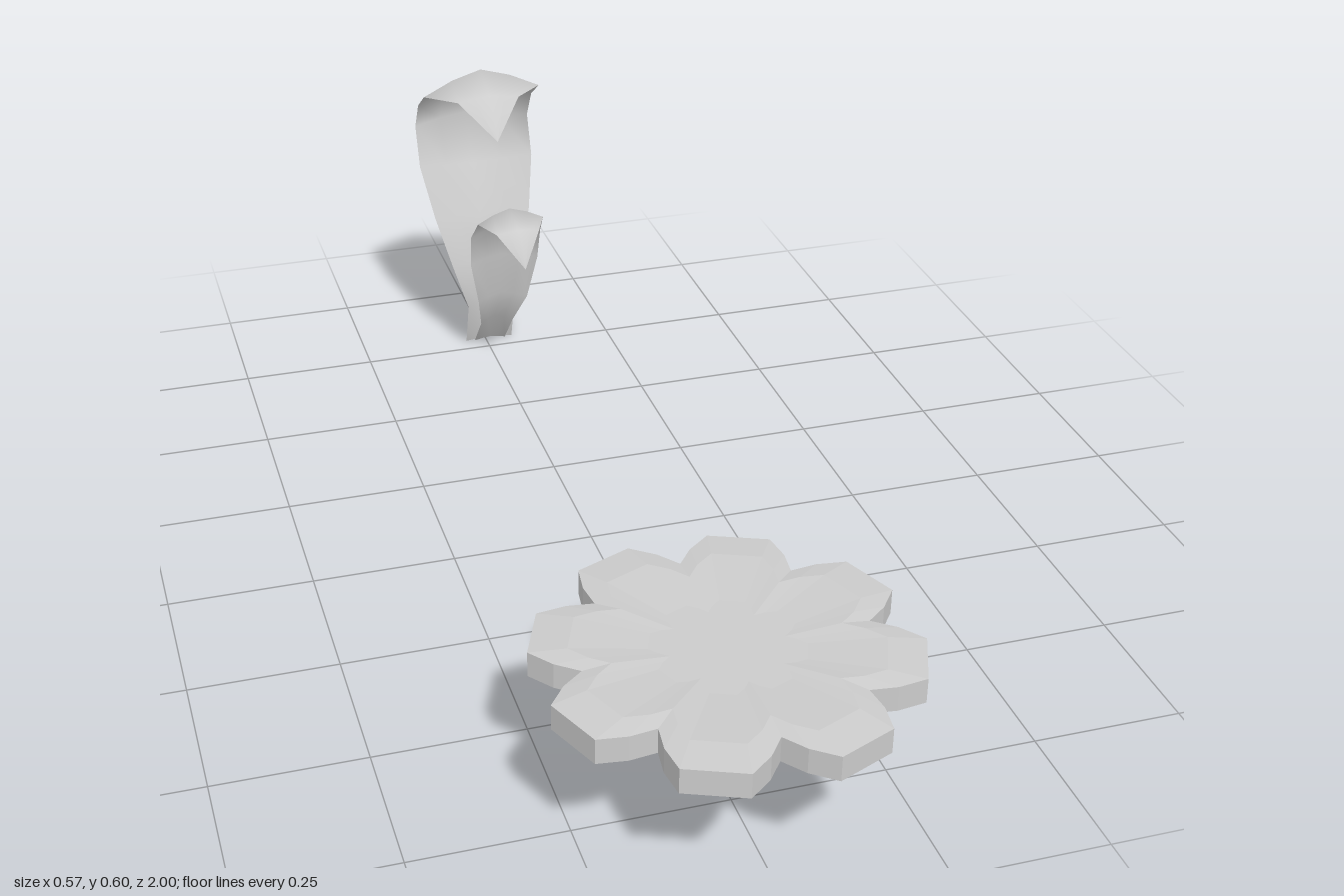
import * as THREE from 'three';

const grey = (opts = {}) => new THREE.MeshStandardMaterial({ color: 0xcccccc, ...opts });

function meshFrom(name, positions, index, material, flat) {
  let geo = new THREE.BufferGeometry();
  geo.setAttribute('position', new THREE.Float32BufferAttribute(positions, 3));
  geo.setIndex(index);
  if (flat) geo = geo.toNonIndexed();
  geo.computeVertexNormals();
  const mesh = new THREE.Mesh(geo, material);
  mesh.name = name;
  return mesh;
}

// Joins equal-length rows of points with quads
function gridIndex(rows, cols, closed) {
  const index = [];
  for (let i = 0; i < rows - 1; i++) {
    for (let j = 0; j < (closed ? cols : cols - 1); j++) {
      const k = (j + 1) % cols;
      const a = i * cols + j, b = i * cols + k, c = a + cols, d = b + cols;
      index.push(a, b, c, b, d, c);
    }
  }
  return index;
}

// Thick flower disc with eight scalloped petals, slightly domed rim and dished centre
function blossom() {
  const petal = [[0, 0.222], [6, 0.258], [12.8, 0.293], [32.2, 0.293], [39, 0.258]];
  const outline = [];
  for (let p = 0; p < 8; p++) {
    for (const [deg, r] of petal) {
      const a = THREE.MathUtils.degToRad(deg + p * 45);
      outline.push([r * Math.cos(a), r * Math.sin(a)]);
    }
  }
  // [scale, height] from the top centre round to the bottom centre
  const rings = [[0, 0.26], [0.4, 0.26], [0.8, 0.266], [1, 0.261], [1, 0.219], [0.8, 0.215], [0, 0.215]];
  const pos = [];
  for (const [s, y] of rings) for (const [x, z] of outline) pos.push(x * s, y, z * s);
  const mesh = meshFrom('flowerDisc', pos, gridIndex(rings.length, outline.length, true),
    grey({ flatShading: true }), true);
  mesh.position.z = 0.713;
  return mesh;
}

// Cupped leaf; stations are [z, y, halfWidth, cupDepth, centreX], side = -1 curls backward
function leaf(name, stations, side) {
  const across = [-1, -0.5, 0, 0.5, 1];
  const pos = [];
  stations.forEach(([z, y, w, depth, x0], i) => {
    const p = stations[Math.max(i - 1, 0)], n = stations[Math.min(i + 1, stations.length - 1)];
    const tz = n[0] - p[0], ty = n[1] - p[1], len = Math.hypot(tz, ty);
    for (const u of across) {
      const cup = side * depth * Math.pow(Math.abs(u), 1.4);
      pos.push(x0 + u * w, Math.max(y - cup * tz / len, 0), z + cup * ty / len);
    }
  });
  return meshFrom(name, pos, gridIndex(stations.length, across.length, false),
    grey({ side: THREE.DoubleSide }), false);
}

export function createModel() {
  const group = new THREE.Group();
  group.name = 'flowerAndLeaves';
  group.add(blossom());

  group.add(leaf('tallLeaf', [
    [-0.79, 0.004, 0.048, 0.006, 0.007],
    [-0.772, 0.10, 0.048, 0.022, 0.006],
    [-0.775, 0.19, 0.072, 0.025, 0],
    [-0.805, 0.28, 0.097, 0.022, 0],
    [-0.855, 0.37, 0.115, 0.03, 0],
    [-0.907, 0.46, 0.115, 0.048, 0],
    [-0.855, 0.55, 0.115, 0.045, 0],
    [-0.77, 0.601, 0.115, 0.043, 0],
    [-0.70, 0.573, 0.06, 0.015, 0],
    [-0.64, 0.502, 0, 0, 0],
  ], 1));

  group.add(leaf('frontLeaf', [
    [-0.785, 0.006, 0.032, 0.005, 0.008],
    [-0.735, 0.08, 0.033, 0.015, 0.01],
    [-0.70, 0.15, 0.05, 0.022, 0.013],
    [-0.69, 0.24, 0.068, 0.025, 0.014],
    [-0.67, 0.315, 0.07, 0.025, 0.014],
    [-0.61, 0.374, 0.065, 0.024, 0.013],
    [-0.55, 0.354, 0.042, 0.012, 0.016],
    [-0.518, 0.285, 0, 0, 0.02],
  ], 1));

  group.add(leaf('backLeaf', [
    [-0.793, 0.006, 0.032, 0.005, 0.02],
    [-0.828, 0.06, 0.033, 0.014, 0.02],
    [-0.858, 0.12, 0.05, 0.02, 0.023],
    [-0.865, 0.19, 0.064, 0.022, 0.025],
    [-0.892, 0.24, 0.065, 0.022, 0.025],
    [-0.955, 0.268, 0.06, 0.02, 0.026],
    [-0.989, 0.24, 0.04, 0.01, 0.026],
    [-1.0, 0.192, 0, 0, 0.026],
  ], -1));

  return group;
}
